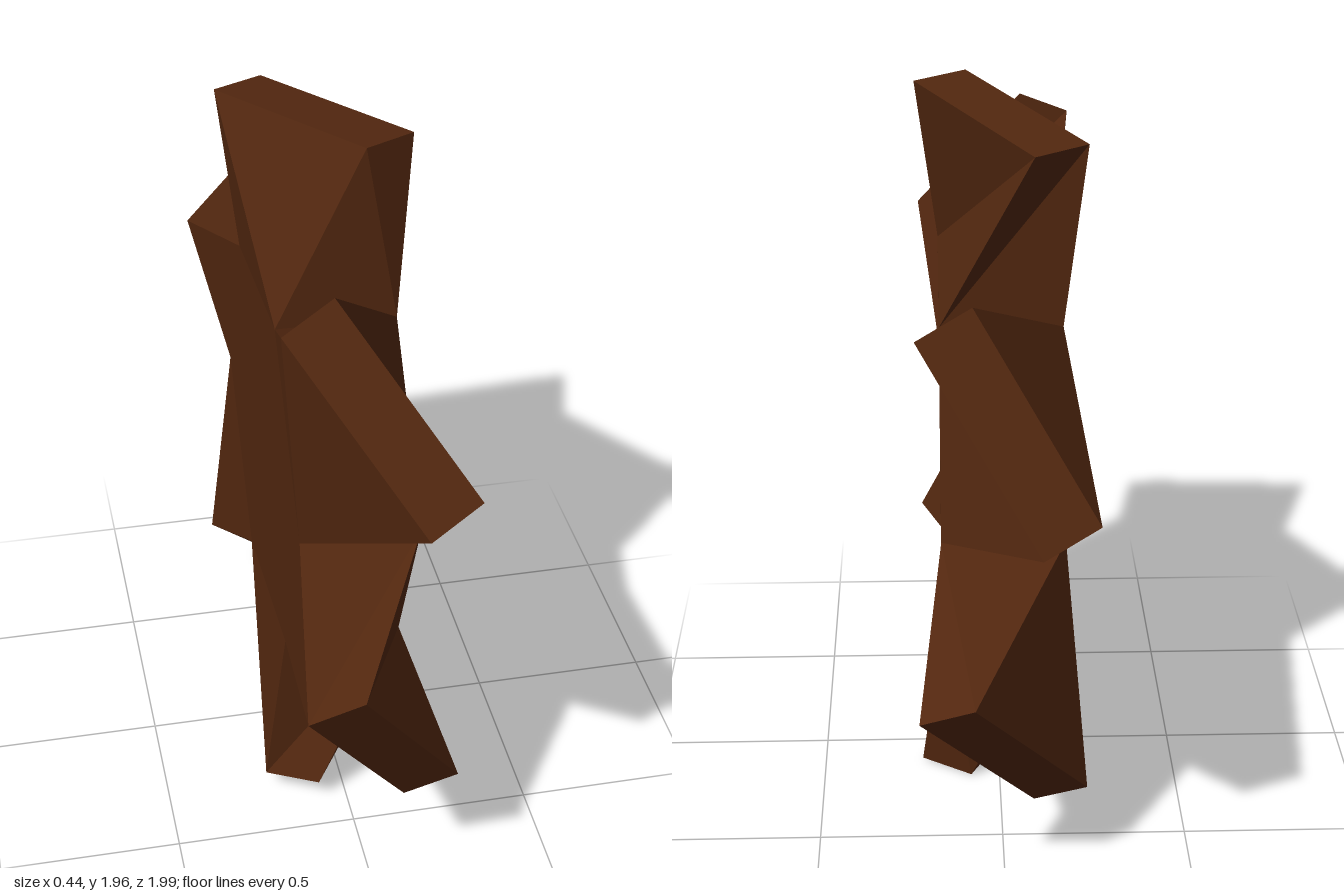
import * as THREE from 'three';

const HUB_RADIUS = 0.55, HUB_HALF = 0.16, TIP_RADIUS = 0.955;
const TILT = THREE.MathUtils.degToRad(-6.2);

// One blade: a rectangular root on a hub side, lofted to a tip twisted by 30 degrees.
function bladeGeometry() {
  const ring = (halfX, halfT, y, twist) =>
    [[1, -1], [1, 1], [-1, 1], [-1, -1]].map(([sx, st]) => {
      const x = sx * halfX, t = st * halfT;
      const c = Math.cos(twist), s = Math.sin(twist);
      return new THREE.Vector3(x * c - t * s, y, -(x * s + t * c));
    });
  const root = ring(HUB_HALF, HUB_RADIUS / 2, HUB_RADIUS * Math.cos(Math.PI / 6), 0);
  const tip = ring(0.08, 0.3, TIP_RADIUS, Math.PI / 6);
  const points = [];
  for (let i = 0; i < 4; i++) {
    const j = (i + 1) % 4;
    // the diagonals run from the trailing root to the leading tip
    if (i < 2) points.push(root[i], root[j], tip[j], root[i], tip[j], tip[i]);
    else points.push(root[i], root[j], tip[i], root[j], tip[j], tip[i]);
  }
  points.push(tip[0], tip[1], tip[2], tip[0], tip[2], tip[3]);
  const geometry = new THREE.BufferGeometry().setFromPoints(points);
  geometry.computeVertexNormals();
  return geometry;
}

export function createModel() {
  const model = new THREE.Group();
  model.name = 'bladedWheel';
  const brown = new THREE.MeshStandardMaterial({ color: 0x52270f });
  brown.name = 'darkBrown';
  brown.flatShading = true;

  const wheel = new THREE.Group();
  wheel.name = 'wheel';
  wheel.position.y = 0.985;
  wheel.rotation.x = TILT;
  model.add(wheel);

  // Six-sided hub with its axle along x
  const hubGeometry = new THREE.CylinderGeometry(HUB_RADIUS, HUB_RADIUS, HUB_HALF * 2, 6);
  hubGeometry.rotateZ(Math.PI / 2);
  const hub = new THREE.Mesh(hubGeometry, brown);
  hub.name = 'hub';
  wheel.add(hub);

  // One twisted blade on each hub side
  const geometry = bladeGeometry();
  for (let i = 0; i < 6; i++) {
    const blade = new THREE.Mesh(geometry, brown);
    blade.name = `blade${i + 1}`;
    blade.rotation.x = (i * Math.PI) / 3;
    wheel.add(blade);
  }
  return model;
}
